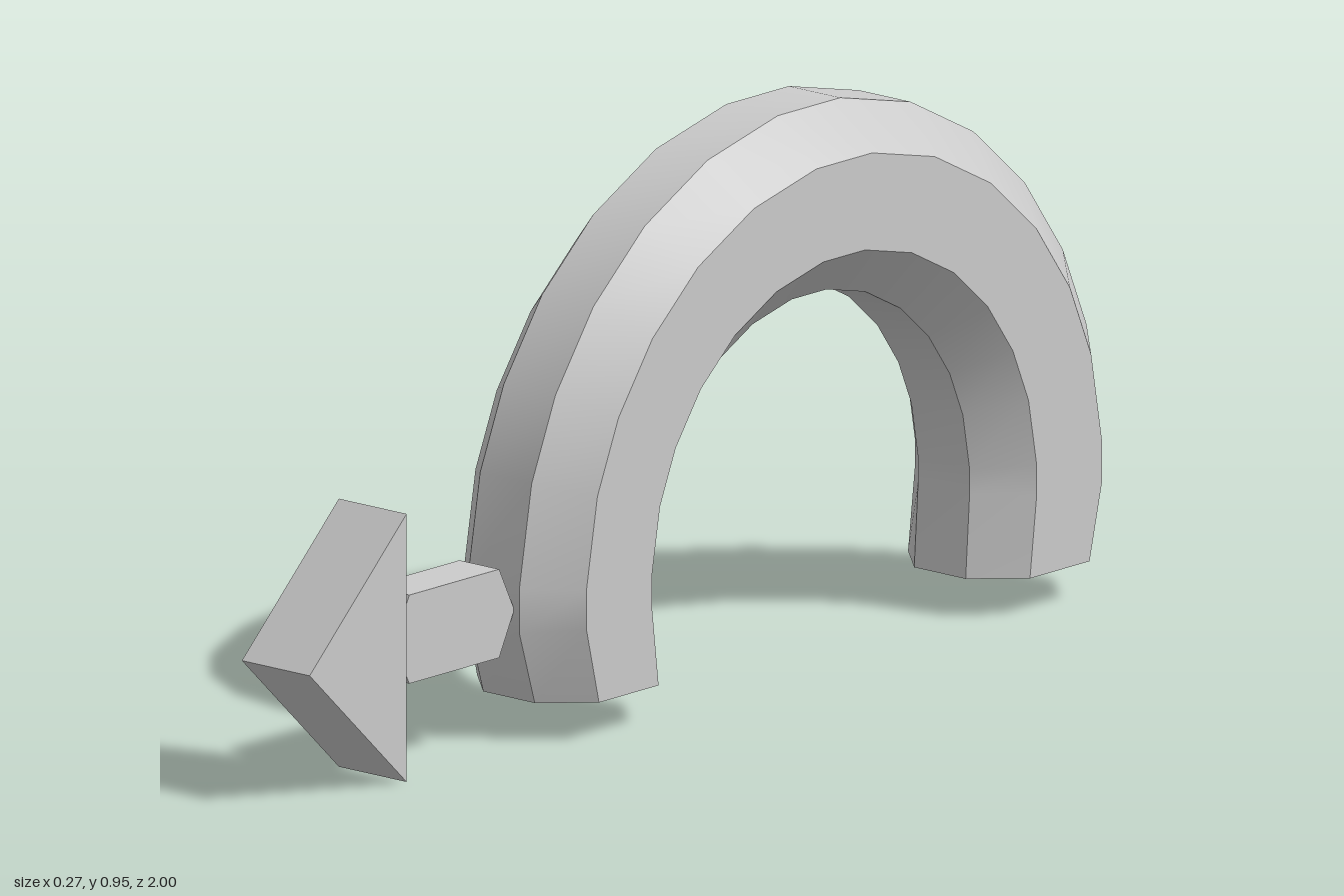
import * as THREE from 'three';

const CENTER_Y = 0.23, CENTER_Z = -0.272, RADIUS = 0.565;

// Octagonal section: [x, radial offset]
const SECTION = [
  [0.057, -0.162], [0.135, -0.082], [0.135, 0.082], [0.057, 0.162],
  [-0.057, 0.162], [-0.135, 0.082], [-0.135, -0.082], [-0.057, -0.162],
];

// Rings along the arch, mirrored front to back; the feet are cut level
function archRings() {
  const half = [SECTION.map(([x, a]) => [x, 0.065, 0.54 + a * 0.91])];
  for (const deg of [-3, 3, 17, 29, 42, 55.5, 69.5, 83.8]) {
    const t = THREE.MathUtils.degToRad(deg);
    half.push(SECTION.map(([x, a]) => [
      x, CENTER_Y + (RADIUS + a) * Math.sin(t), (RADIUS + a) * Math.cos(t),
    ]));
  }
  const back = half.map((ring) => ring.map(([x, y, z]) => [x, y, -z])).reverse();
  return [...half, ...back].map((ring) => ring.map(([x, y, z]) => [x, y, z + CENTER_Z]));
}

// Each long face is its own strip: smooth along the arch, sharp between faces
function archGeometry() {
  const rings = archRings(), n = SECTION.length, last = rings.length - 1;
  const pos = [], idx = [];
  for (let j = 0; j < n; j++) {
    const base = pos.length / 3;
    rings.forEach((ring) => pos.push(...ring[j], ...ring[(j + 1) % n]));
    for (let i = 0; i < last; i++) {
      const a = base + i * 2;
      idx.push(a, a + 2, a + 1, a + 1, a + 2, a + 3);
    }
  }
  // Flat feet
  for (const end of [0, last]) {
    const base = pos.length / 3;
    rings[end].forEach((p) => pos.push(...p));
    for (let k = 1; k < n - 1; k++) {
      if (end === 0) idx.push(base, base + k, base + k + 1);
      else idx.push(base, base + k + 1, base + k);
    }
  }
  const geo = new THREE.BufferGeometry();
  geo.setAttribute('position', new THREE.Float32BufferAttribute(pos, 3));
  geo.setIndex(idx);
  geo.computeVertexNormals();
  return geo;
}

// Plate with a side outline of [z, y] points, centred on x = 0
function plate(points, width) {
  const shape = new THREE.Shape(points.map(([z, y]) => new THREE.Vector2(-z, y)));
  const geo = new THREE.ExtrudeGeometry(shape, { depth: width, bevelEnabled: false });
  geo.translate(0, 0, -width / 2);
  geo.rotateY(Math.PI / 2);
  return geo;
}

export function createModel() {
  const group = new THREE.Group();
  const material = new THREE.MeshStandardMaterial({ color: 0xcccccc });
  const add = (name, geo) => {
    const mesh = new THREE.Mesh(geo, material);
    mesh.name = name;
    group.add(mesh);
  };

  add('arch', archGeometry());

  // Arrow pointing forward from the front leg
  add('arrowShaft', plate([
    [0.755, 0.23], [0.715, 0.307], [0.49, 0.307],
    [0.452, 0.23], [0.49, 0.155], [0.715, 0.155],
  ], 0.088));
  add('arrowHead', plate([[1, 0.23], [0.757, 0.46], [0.757, 0]], 0.15));

  return group;
}
